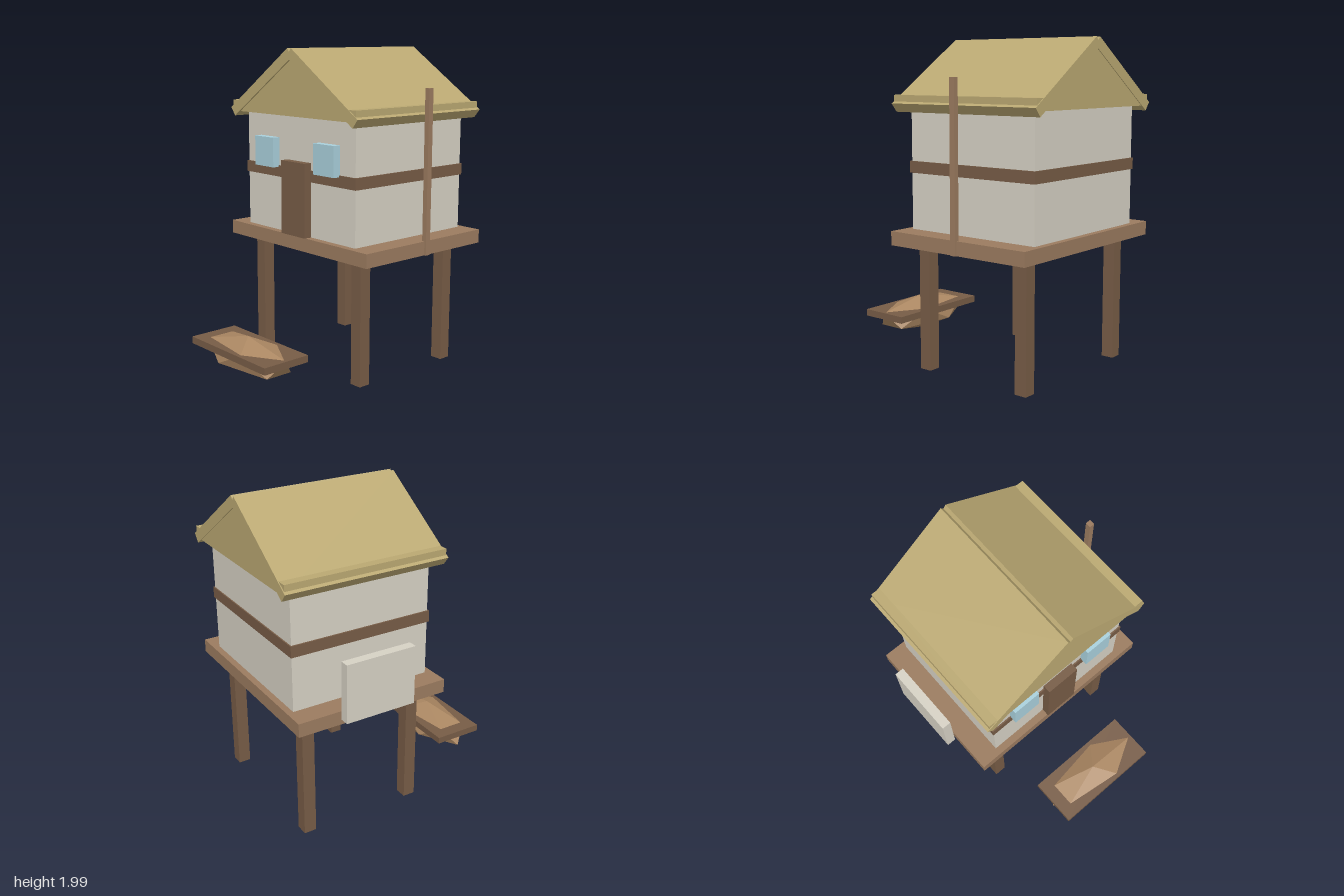
import * as THREE from 'three';

const mat = (color) => new THREE.MeshStandardMaterial({ color, flatShading: true });

export function createModel() {
  const group = new THREE.Group();
  const wall = mat(0xd6d1c4), plank = mat(0x9b7b5f), wood = mat(0x775c46);
  const thatch = mat(0xbaa872), glass = mat(0xa9d0dc), hullWood = mat(0xab8762);

  const add = (name, geometry, material) => {
    const mesh = new THREE.Mesh(geometry, material);
    mesh.name = name;
    group.add(mesh);
    return mesh;
  };
  // Box given by its extents on each axis
  const box = (name, [x0, x1], [y0, y1], [z0, z1], material) => {
    const mesh = add(name, new THREE.BoxGeometry(x1 - x0, y1 - y0, z1 - z0), material);
    mesh.position.set((x0 + x1) / 2, (y0 + y1) / 2, (z0 + z1) / 2);
    return mesh;
  };
  // Outline in x/y, extruded between two depths
  const prism = (name, points, z0, z1, material) => {
    const shape = new THREE.Shape(points.map(([x, y]) => new THREE.Vector2(x, y)));
    const geometry = new THREE.ExtrudeGeometry(shape, { depth: z1 - z0, bevelEnabled: false });
    return add(name, geometry.translate(0, 0, z0), material);
  };

  // Stilts and deck
  for (const x of [-0.43, 0.478])
    for (const z of [0.117, -0.606])
      box('stilt', [x - 0.039, x + 0.039], [0.01, 0.79], [z - 0.039, z + 0.039], wood);
  box('deck', [-0.61, 0.66], [0.785, 0.87], [-0.74, 0.25], plank);

  // House body with belt beam, door and windows
  box('walls', [-0.475, 0.52], [0.87, 1.61], [-0.7, 0.205], wall);
  box('beltBeam', [-0.485, 0.53], [1.21, 1.28], [-0.708, 0.214], wood);
  box('door', [-0.085, 0.133], [0.87, 1.325], [0.18, 0.257], wood);
  for (const x of [-0.255, 0.3])
    box('window', [x - 0.09, x + 0.09], [1.27, 1.455], [0.19, 0.255], glass);

  // Gable roof: solid core, two crossing slabs, eave strips
  const ridge = 0.025;
  prism('gable', [[ridge - 0.53, 1.6], [ridge + 0.53, 1.6], [ridge, 1.95]], -0.765, 0.27, thatch);
  for (const s of [-1, 1]) {
    const slab = [[0.585, 1.62], [0.017, 2], [-0.023, 1.948], [0.545, 1.57]];
    const outline = slab.map(([x, y]) => [ridge + s * x, y]);
    prism(s > 0 ? 'roofSlabLeft' : 'roofSlabRight', outline, -0.77, 0.28, thatch);
    const a = ridge + s * 0.51, b = ridge + s * 0.568;
    box('eaveStrip', [Math.min(a, b), Math.max(a, b)], [1.605, 1.67], [-0.765, 0.275], thatch);
  }

  // Upright pole and hanging side panel
  box('pole', [0.642, 0.673], [0.785, 1.775], [-0.265, -0.23], plank);
  box('sidePanel', [-0.682, -0.625], [0.825, 1.19], [-0.475, -0.02], wall);

  // Boat: five-sided faceted hull with staggered rings, and a flat rim
  const ring = (y, turn) => Array.from({ length: 5 }, (_, i) => {
    const a = (i + turn) * Math.PI * 0.4;
    return [0.36 * Math.cos(a), y, 0.15 * Math.sin(a)];
  });
  const upper = ring(0.0515, 0), lower = ring(-0.0515, 0.5);
  const top = [0, 0.115, 0], bottom = [0, -0.115, 0];
  const faces = [];
  for (let i = 0; i < 5; i++) {
    const j = (i + 1) % 5;
    faces.push(top, upper[j], upper[i], upper[i], upper[j], lower[i]);
    faces.push(lower[i], upper[j], lower[j], bottom, lower[i], lower[j]);
  }
  const hull = new THREE.BufferGeometry();
  hull.setAttribute('position', new THREE.Float32BufferAttribute(faces.flat(), 3));
  hull.computeVertexNormals();
  add('boatHull', hull, hullWood).position.set(ridge, 0.195, 0.61);
  box('boatRim', [-0.335, 0.387], [0.207, 0.25], [0.45, 0.77], wood);

  return group;
}
